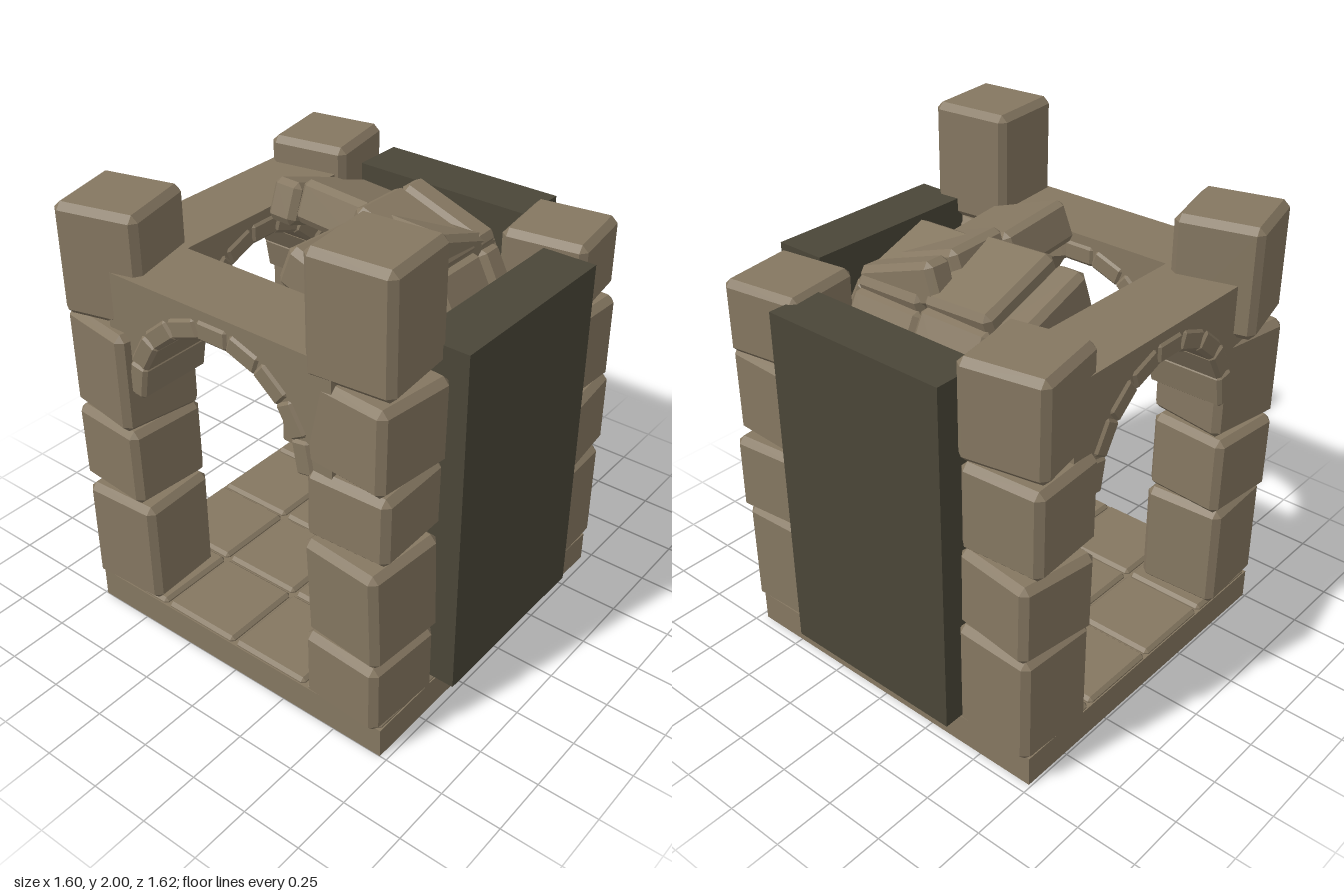
import * as THREE from 'three';
import { ConvexGeometry } from 'three/addons/geometries/ConvexGeometry.js';

const stone = new THREE.MeshStandardMaterial({ color: 0x857761 });
stone.name = 'stone';
const darkPanel = new THREE.MeshStandardMaterial({ color: 0x4a4638 });
darkPanel.name = 'dark panel';

// Box with all edges and corners chamfered by c
function chamferBox(w, h, d, c) {
  const pts = [], x = w / 2, y = h / 2, z = d / 2;
  for (const i of [-1, 1]) for (const j of [-1, 1]) for (const k of [-1, 1]) {
    pts.push(
      new THREE.Vector3(i * x, j * (y - c), k * (z - c)),
      new THREE.Vector3(i * (x - c), j * y, k * (z - c)),
      new THREE.Vector3(i * (x - c), j * (y - c), k * z));
  }
  return new ConvexGeometry(pts);
}

function add(parent, name, geometry, material, pos = [0, 0, 0], rot = [0, 0, 0]) {
  const mesh = new THREE.Mesh(geometry, material);
  mesh.name = name;
  mesh.position.set(...pos);
  mesh.rotation.set(...rot);
  parent.add(mesh);
  return mesh;
}

function box(parent, name, x0, x1, y0, y1, z0, z1, material) {
  return add(parent, name, new THREE.BoxGeometry(x1 - x0, y1 - y0, z1 - z0), material,
    [(x0 + x1) / 2, (y0 + y1) / 2, (z0 + z1) / 2]);
}

// Corner column: each block is [bottom, top, x, z, turn, tilt]
function column(parent, name, blocks) {
  const group = new THREE.Group();
  group.name = name;
  for (const [y0, y1, x, z, turn, tilt] of blocks) {
    add(group, 'columnBlock', chamferBox(0.345, y1 - y0, 0.345, 0.026), stone,
      [x, (y0 + y1) / 2, z], [0, turn, tilt]);
  }
  parent.add(group);
}

// Wall with a round arch, built across x and centred on z = 0
function archWall(name) {
  const group = new THREE.Group();
  group.name = name;
  const spring = 1.13;
  const s = new THREE.Shape();
  s.moveTo(0.40, spring);
  s.lineTo(0.52, spring);
  s.lineTo(0.52, 1.61);
  s.lineTo(-0.52, 1.61);
  s.lineTo(-0.52, spring);
  s.lineTo(-0.40, spring);
  s.absarc(0, spring, 0.40, Math.PI, 0, true);
  const geo = new THREE.ExtrudeGeometry(s, { depth: 0.31, bevelEnabled: false, curveSegments: 18 });
  add(group, 'archWallBody', geo, stone, [0, 0, -0.155]);
  const n = 9;
  for (let i = 0; i < n; i++) {
    const a = Math.PI * (i + 0.5) / n, r = 0.402;
    add(group, 'archStone', chamferBox(0.145, 0.085, 0.33, 0.014), stone,
      [Math.cos(a) * r, spring + Math.sin(a) * r, 0], [0, 0, a - Math.PI / 2]);
  }
  return group;
}

// Half vault rising from a solid wall at +z; strips are [x0, x1, lift, wobble]
function halfVault(name, strips) {
  const group = new THREE.Group();
  group.name = name;
  // outer face of each course: [z, y] inner end, [z, y] outer end, thickness
  const courses = [
    [[0.03, 1.765], [0.40, 1.635], 0.17],
    [[0.40, 1.60], [0.58, 1.25], 0.15],
    [[0.585, 1.22], [0.595, 0.72], 0.16],
    [[0.595, 0.70], [0.595, 0.15], 0.16],
  ];
  for (const [x0, x1, lift, wobble] of strips) {
    courses.forEach(([[za, ya], [zb, yb], t], i) => {
      const length = Math.hypot(zb - za, yb - ya);
      const slope = Math.atan2(ya - yb, zb - za);
      const up = i < 2 ? lift : 0;
      add(group, i < 2 ? 'vaultStone' : 'innerWallStone',
        chamferBox(x1 - x0 - 0.008, t, length, 0.024), stone,
        [(x0 + x1) / 2, (ya + yb) / 2 + up - Math.cos(slope) * t / 2, (za + zb) / 2 - Math.sin(slope) * t / 2],
        [slope, 0, i < 2 ? wobble * (i ? -0.6 : 1) : 0]);
    });
  }
  return group;
}

export function createModel() {
  const model = new THREE.Group();
  model.name = 'ruinedVaultTower';

  // Base slab and floor tiles
  box(model, 'baseSlab', -0.75, 0.71, 0, 0.13, -0.74, 0.72, stone);
  const tile = chamferBox(0.355, 0.04, 0.355, 0.014);
  for (let i = 0; i < 4; i++) for (let j = 0; j < 4; j++) {
    add(model, 'floorTile', tile, stone, [-0.5675 + i * 0.365, 0.13, -0.5575 + j * 0.365]);
  }

  // Plain outer panels on the two solid sides
  box(model, 'frontPanel', -0.42, 0.38, 0.15, 1.61, 0.59, 0.81, darkPanel);
  box(model, 'sidePanel', 0.58, 0.80, 0.15, 1.61, -0.415, 0.39, darkPanel);

  // Corner columns
  column(model, 'frontRightColumn', [
    [0.14, 0.44, -0.61, 0.56, -0.06, 0.0],
    [0.45, 0.88, -0.61, 0.57, -0.10, 0.04],
    [0.89, 1.17, -0.59, 0.56, 0.04, -0.02],
    [1.18, 1.52, -0.585, 0.57, -0.09, -0.02],
    [1.53, 2.00, -0.57, 0.545, 0.09, 0.0],
  ]);
  column(model, 'frontLeftColumn', [
    [0.14, 0.60, 0.56, 0.565, 0.04, 0.0],
    [0.61, 0.94, 0.58, 0.57, 0.10, 0.01],
    [0.95, 1.32, 0.56, 0.56, -0.05, 0.0],
    [1.33, 1.63, 0.575, 0.545, 0.14, 0.0],
  ]);
  column(model, 'backLeftColumn', [
    [0.14, 0.60, 0.57, -0.59, -0.05, 0.0],
    [0.61, 0.94, 0.58, -0.61, -0.13, 0.01],
    [0.95, 1.31, 0.56, -0.60, 0.06, 0.0],
    [1.33, 1.72, 0.565, -0.59, 0.18, 0.0],
  ]);
  column(model, 'backRightColumn', [
    [0.14, 0.60, -0.60, -0.58, 0.05, 0.0],
    [0.61, 0.95, -0.59, -0.60, -0.08, 0.01],
    [0.96, 1.38, -0.60, -0.59, -0.16, 0.0],
    [1.39, 1.84, -0.59, -0.605, 0.25, 0.0],
  ]);

  // Arched walls on the two open sides
  const backArch = archWall('backArch');
  backArch.position.set(-0.02, 0, -0.585);
  model.add(backArch);
  const sideArch = archWall('sideArch');
  sideArch.position.set(-0.59, 0, -0.02);
  sideArch.rotation.y = Math.PI / 2;
  model.add(sideArch);

  // Two crossing half vaults leaning in from the solid sides
  model.add(halfVault('frontVault', [
    [-0.42, -0.04, -0.02, -0.08], [-0.04, 0.25, 0.0, -0.03], [0.25, 0.38, -0.01, 0.02]]));
  const sideVault = halfVault('sideVault', [
    [-0.39, -0.05, -0.03, 0.04], [-0.05, 0.28, 0.0, 0.06], [0.28, 0.42, -0.02, 0.02]]);
  sideVault.rotation.y = Math.PI / 2;
  model.add(sideVault);

  return model;
}
